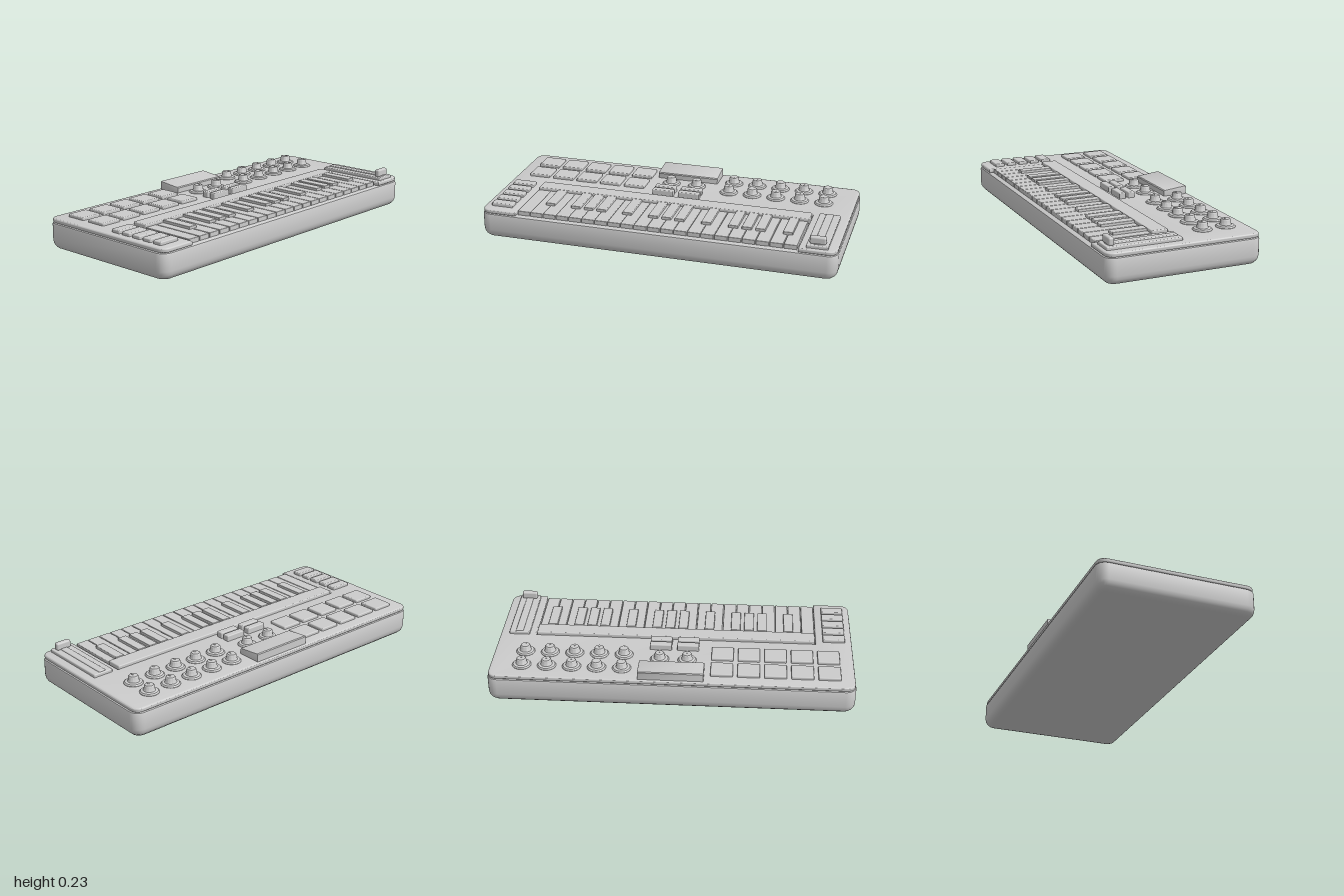
import * as THREE from 'three';
import { toCreasedNormals } from 'three/addons/utils/BufferGeometryUtils.js';
import { RoundedBoxGeometry } from 'three/addons/geometries/RoundedBoxGeometry.js';

const grey = new THREE.MeshStandardMaterial({ color: 0xcccccc });

export function createModel() {
  const model = new THREE.Group();

  const add = (name, geometry, x = 0, y = 0, z = 0, parent = model) => {
    const mesh = new THREE.Mesh(geometry, grey);
    mesh.name = name;
    mesh.position.set(x, y, z);
    parent.add(mesh);
  };
  const group = (name) => {
    const g = new THREE.Group();
    g.name = name;
    model.add(g);
    return g;
  };
  // Softened block centred on (x, z), spanning y0 to y1
  const block = (name, x, z, w, d, y0, y1, parent, r = 0.006) =>
    add(name, new RoundedBoxGeometry(w, y1 - y0, d, 2, r), x, (y0 + y1) / 2, z, parent);

  // Case: rounded rectangle rings stacked from [inset, height] pairs
  const halfW = 1, halfD = 0.435;
  const ring = (inset, y) => {
    const pts = [], r = 0.055 - inset * 0.6, n = 6;
    const corners = [[1, 1], [-1, 1], [-1, -1], [1, -1]];
    corners.forEach(([sx, sz], c) => {
      for (let i = 0; i <= n; i++) {
        const a = (c + i / n) * Math.PI / 2;
        pts.push([sx * (halfW - inset - r) + r * Math.cos(a), y, sz * (halfD - inset - r) + r * Math.sin(a)]);
      }
    });
    return pts;
  };
  const profile = [[0.04, 0], [0.022, 0.006], [0.01, 0.018], [0.003, 0.032], [0, 0.05],
    [0, 0.136], [0.003, 0.143], [0.01, 0.147]];
  const rings = profile.map(([inset, y]) => ring(inset, y));
  const n = rings[0].length, pos = rings.flat(2), idx = [];
  for (let j = 0; j < rings.length - 1; j++) {
    for (let i = 0; i < n; i++) {
      const a = j * n + i, b = j * n + (i + 1) % n;
      idx.push(a, a + n, b, b, a + n, b + n);
    }
  }
  const bottom = pos.length / 3, top = bottom + 1, last = (rings.length - 1) * n;
  pos.push(0, 0, 0, 0, 0.147, 0);
  for (let i = 0; i < n; i++) {
    const k = (i + 1) % n;
    idx.push(bottom, i, k, top, last + k, last + i);
  }
  const caseGeometry = new THREE.BufferGeometry();
  caseGeometry.setAttribute('position', new THREE.Float32BufferAttribute(pos, 3));
  caseGeometry.setIndex(idx);
  add('case', toCreasedNormals(caseGeometry, 0.6));

  // Top panel, open at the front where the keys sit (shape y = -z)
  const w = 0.987, d = 0.422, r = 0.045, k = 0.8;
  const s = new THREE.Shape();
  s.moveTo(-w + r, -d);
  s.lineTo(-k, -d);
  s.lineTo(-k, 0.008);
  s.lineTo(k, 0.008);
  s.lineTo(k, -d);
  s.lineTo(w - r, -d);
  s.quadraticCurveTo(w, -d, w, -d + r);
  s.lineTo(w, d - r);
  s.quadraticCurveTo(w, d, w - r, d);
  s.lineTo(-w + r, d);
  s.quadraticCurveTo(-w, d, -w, d - r);
  s.lineTo(-w, -d + r);
  s.quadraticCurveTo(-w, -d, -w + r, -d);
  const panel = new THREE.ExtrudeGeometry(s, {
    depth: 0.008, bevelEnabled: true, bevelThickness: 0.008, bevelSize: 0.008, bevelSegments: 3, curveSegments: 8,
  });
  panel.rotateX(-Math.PI / 2);
  add('topPanel', toCreasedNormals(panel, 0.6), 0, 0.154, 0);

  // Keyboard
  const keys = group('keyboard');
  const x0 = -0.79, pitch = 0.075;
  block('keyboardStrip', 0, 0.045, 1.575, 0.092, 0.145, 0.186, keys);
  for (let i = 0; i < 21; i++) {
    block('whiteKey', x0 + (i + 0.5) * pitch, 0.248, 0.072, 0.312, 0.145, 0.172, keys, 0.004);
  }
  for (const i of [2, 4, 5, 6, 8, 10, 11, 12, 14, 16, 17, 18, 20]) {
    block('blackKey', x0 + i * pitch, 0.19, 0.054, 0.194, 0.152, 0.187, keys, 0.004);
  }

  // Drum pads
  const pads = group('pads');
  for (const z of [-0.305, -0.15]) {
    for (let i = 0; i < 5; i++) block('pad', -0.858 + i * 0.146, z, 0.122, 0.118, 0.16, 0.186, pads);
  }

  // Buttons on the left-hand cheek and below the encoders
  const buttons = group('buttons');
  for (let i = 0; i < 5; i++) block('sideButton', -0.895, 0.045 + i * 0.075, 0.124, 0.056, 0.16, 0.188, buttons);
  for (const x of [-0.08, 0.072]) {
    for (const z of [-0.1, -0.046]) block('menuButton', x, z, 0.122, 0.04, 0.16, 0.203, buttons);
  }

  // Display wedge, rising toward the back
  const wedge = new THREE.Shape([[0.278, 0.16], [0.418, 0.16], [0.418, 0.212], [0.414, 0.217], [0.283, 0.203], [0.278, 0.198]]
    .map(([a, b]) => new THREE.Vector2(a, b)));
  const display = new THREE.ExtrudeGeometry(wedge, {
    depth: 0.35, bevelEnabled: true, bevelSize: 0.004, bevelOffset: -0.004, bevelThickness: 0.004, bevelSegments: 2,
  });
  display.rotateY(Math.PI / 2);
  add('display', toCreasedNormals(display, 0.5), -0.175, 0, 0);

  // Knobs: flared skirt, grip and pointer
  const knobProfile = [[0, 0.165], [0.052, 0.165], [0.052, 0.172], [0.046, 0.179], [0.032, 0.182],
    [0.029, 0.186], [0.027, 0.208], [0.023, 0.213], [0, 0.213]].map(([a, b]) => new THREE.Vector2(a, b));
  const knobGeometry = toCreasedNormals(new THREE.LatheGeometry(knobProfile, 28), 0.6);
  const pointerGeometry = new THREE.BoxGeometry(0.006, 0.004, 0.02);
  const knob = (name, x, z) => {
    const g = group(name);
    g.position.set(x, 0, z);
    add('knobBody', knobGeometry, 0, 0, 0, g);
    add('knobPointer', pointerGeometry, 0, 0.213, 0.012, g);
  };
  for (const x of [-0.08, 0.072]) knob('encoder', x, -0.212);
  for (const z of [-0.313, -0.178]) {
    for (let i = 0; i < 5; i++) knob('knob', 0.272 + i * 0.1375, z);
  }

  // Slider on the right-hand cheek
  const slider = group('slider');
  block('sliderBase', 0.888, 0.203, 0.116, 0.416, 0.16, 0.187, slider);
  block('sliderTrack', 0.888, 0.2, 0.042, 0.39, 0.17, 0.193, slider);
  block('sliderCap', 0.888, 0.378, 0.088, 0.032, 0.185, 0.228, slider, 0.01);

  return model;
}
